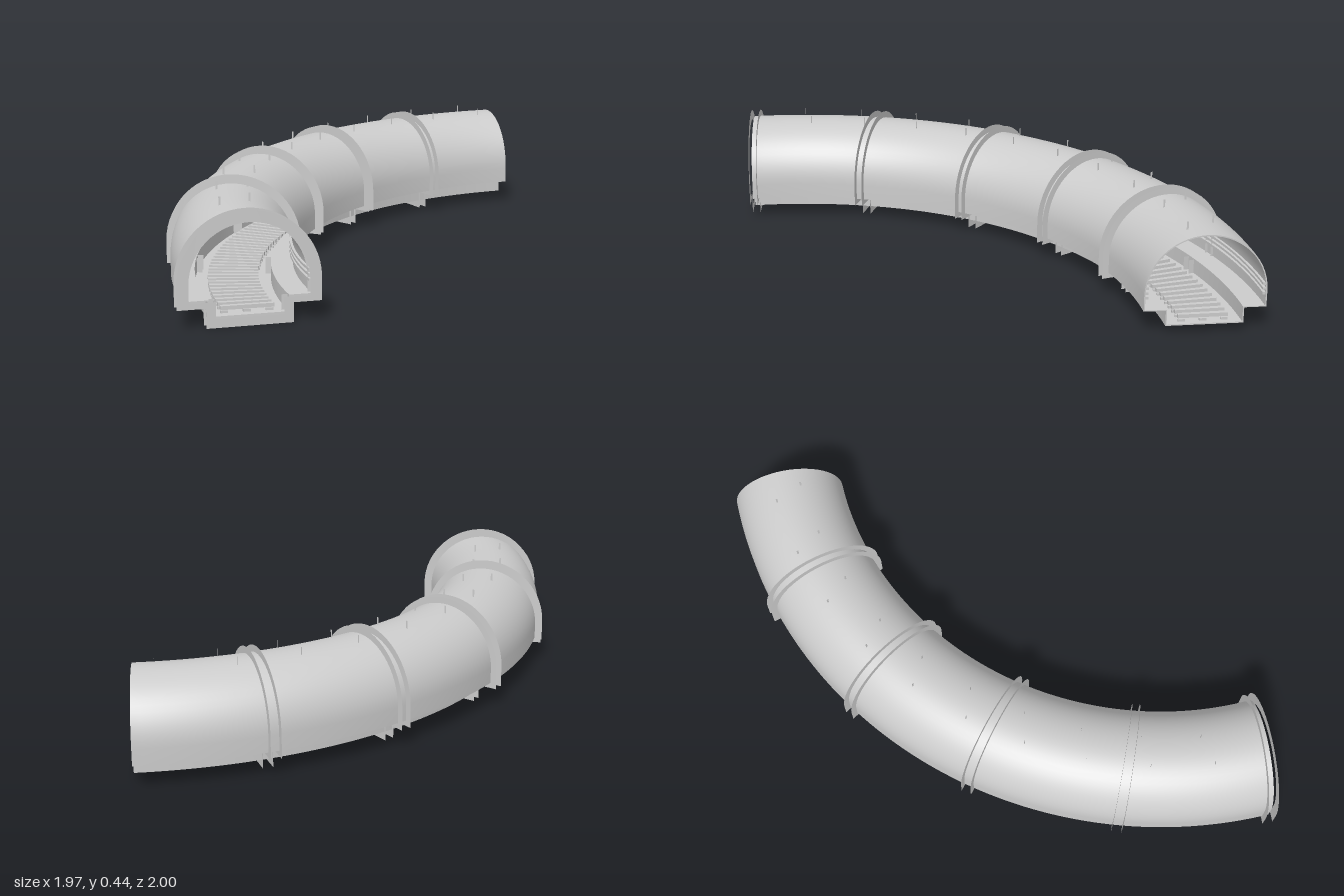
import * as THREE from 'three';
import { toCreasedNormals, mergeGeometries } from 'three/addons/utils/BufferGeometryUtils.js';

const CX = 0.98, CZ = 0.94, RADIUS = 1.6975;   // bend centre and centreline radius
const START = 0.2, END = 90.9;                 // bend range in degrees
const ARCH_Y = 0.1675;                         // height where the arch springs

// Point of the bend: u = outward offset from centreline, y = height, deg = along the bend.
// The cross planes are slightly slanted, growing towards the far end.
function at(u, y, deg) {
  const a = THREE.MathUtils.degToRad(deg);
  const slant = -u * (0.031 + 0.062 * deg / 90);
  const r = RADIUS + u;
  return [CX - Math.sin(a) * r - Math.cos(a) * slant, y, CZ - Math.cos(a) * r + Math.sin(a) * slant];
}

// Counter-clockwise tunnel outline: arch above, ledges, then a narrower channel
function outline(half, ledgeY, channelHalf, baseY) {
  const pts = [[-channelHalf, baseY], [channelHalf, baseY], [channelHalf, ledgeY], [half, ledgeY]];
  for (let i = 0; i <= 28; i++) {
    const a = Math.PI * i / 28;
    pts.push([half * Math.cos(a), ARCH_Y + half * Math.sin(a)]);
  }
  pts.push([-half, ledgeY], [-channelHalf, ledgeY]);
  return pts;
}

function rect(u0, u1, y0, y1) {
  return [[u0, y0], [u1, y0], [u1, y1], [u0, y1]];
}

function build(positions, index) {
  const g = new THREE.BufferGeometry();
  g.setAttribute('position', new THREE.Float32BufferAttribute(positions, 3));
  g.setIndex(index);
  return toCreasedNormals(g, 0.6);
}

// Wall swept along the bend; inward turns its faces to the inside
function sweep(profile, d0, d1, steps, inward = false) {
  const pos = [], idx = [], n = profile.length;
  for (let j = 0; j <= steps; j++)
    for (const [u, y] of profile) pos.push(...at(u, y, d0 + (d1 - d0) * j / steps));
  for (let j = 0; j < steps; j++) {
    for (let i = 0; i < n; i++) {
      const a = j * n + i, b = j * n + (i + 1) % n, c = a + n, d = b + n;
      if (inward) idx.push(a, b, c, b, d, c);
      else idx.push(a, c, b, b, c, d);
    }
  }
  return build(pos, idx);
}

// Flat cross-plane face, with an optional hole
function face(outer, hole, deg, forward) {
  const toV = p => p.map(([u, y]) => new THREE.Vector2(u, y));
  const shape = new THREE.Shape(toV(outer));
  if (hole) shape.holes.push(new THREE.Path(toV(hole)));
  const flat = new THREE.ShapeGeometry(shape);
  const p = flat.attributes.position, pos = [], idx = Array.from(flat.index.array);
  for (let i = 0; i < p.count; i++) pos.push(...at(p.getX(i), p.getY(i), deg));
  if (forward) idx.reverse();
  return build(pos, idx);
}

// Closed bar following the bend
function bar(profile, d0, d1, steps) {
  return [sweep(profile, d0, d1, steps), face(profile, null, d0, false), face(profile, null, d1, true)];
}

export function createModel() {
  const model = new THREE.Group();
  const grey = new THREE.MeshStandardMaterial({ color: 0xcccccc });
  const thin = new THREE.MeshStandardMaterial({ color: 0xcccccc, side: THREE.DoubleSide });
  const add = (name, geometries, material = grey) => {
    const mesh = new THREE.Mesh(mergeGeometries(geometries), material);
    mesh.name = name;
    model.add(mesh);
  };

  // Thin tunnel shell with outer wall, inner wall and end rims
  const outer = outline(0.2425, 0.1, 0.155, 0.035);
  const inner = outline(0.2375, 0.104, 0.15, 0.04);
  add('tunnelShell', [
    sweep(outer, START, END, 72),
    sweep(inner, START, END, 72, true),
    face(outer, inner, START, false),
    face(outer, inner, END, true),
  ], thin);

  // Joint flanges: pairs of thin collar plates with a foot below
  const collar = outline(0.271, 0.077, 0.163, 0);
  const collarHole = outline(0.226, 0.1, 0.127, 0.035);
  [16.3, 33.6, 51.9, 71.5, 90.7].forEach((deg, i) => {
    add('jointFlange' + (i + 1), [
      face(collar, collarHole, deg - 0.65, false),
      face(collar, collarHole, deg + 0.65, true),
    ], thin);
  });

  // Cable rails along each inside wall
  const rails = [];
  for (const side of [-1, 1]) {
    for (const y of [0.155, 0.175, 0.195]) {
      const mid = side * 0.232;
      rails.push(...bar(rect(mid - 0.007, mid + 0.007, y - 0.005, y + 0.005), START + 0.1, END - 0.1, 60));
    }
  }
  add('cableRails', rails);

  // Ladder of rungs in the channel, and rows of small studs under its floor
  const rungs = [], studs = [];
  for (let deg = 1; deg < 90; deg += 1.5) {
    rungs.push(...bar(rect(-0.1, 0.1, 0.055, 0.07), deg, deg + 0.6, 1));
    for (const u of [-0.085, 0, 0.085])
      studs.push(...bar(rect(u - 0.014, u + 0.014, 0.031, 0.05), deg, deg + 0.3, 1));
  }
  add('floorRungs', rungs);
  add('floorStuds', studs);

  // Small upright fins along the crest
  const fins = [];
  for (let deg = 4; deg < 90; deg += 8.7) {
    for (const u of [-0.06, 0.06])
      fins.push(face(rect(u - 0.004, u + 0.004, 0.395, 0.435), null, deg + u * 15, false));
  }
  add('crestFins', fins, thin);

  return model;
}
